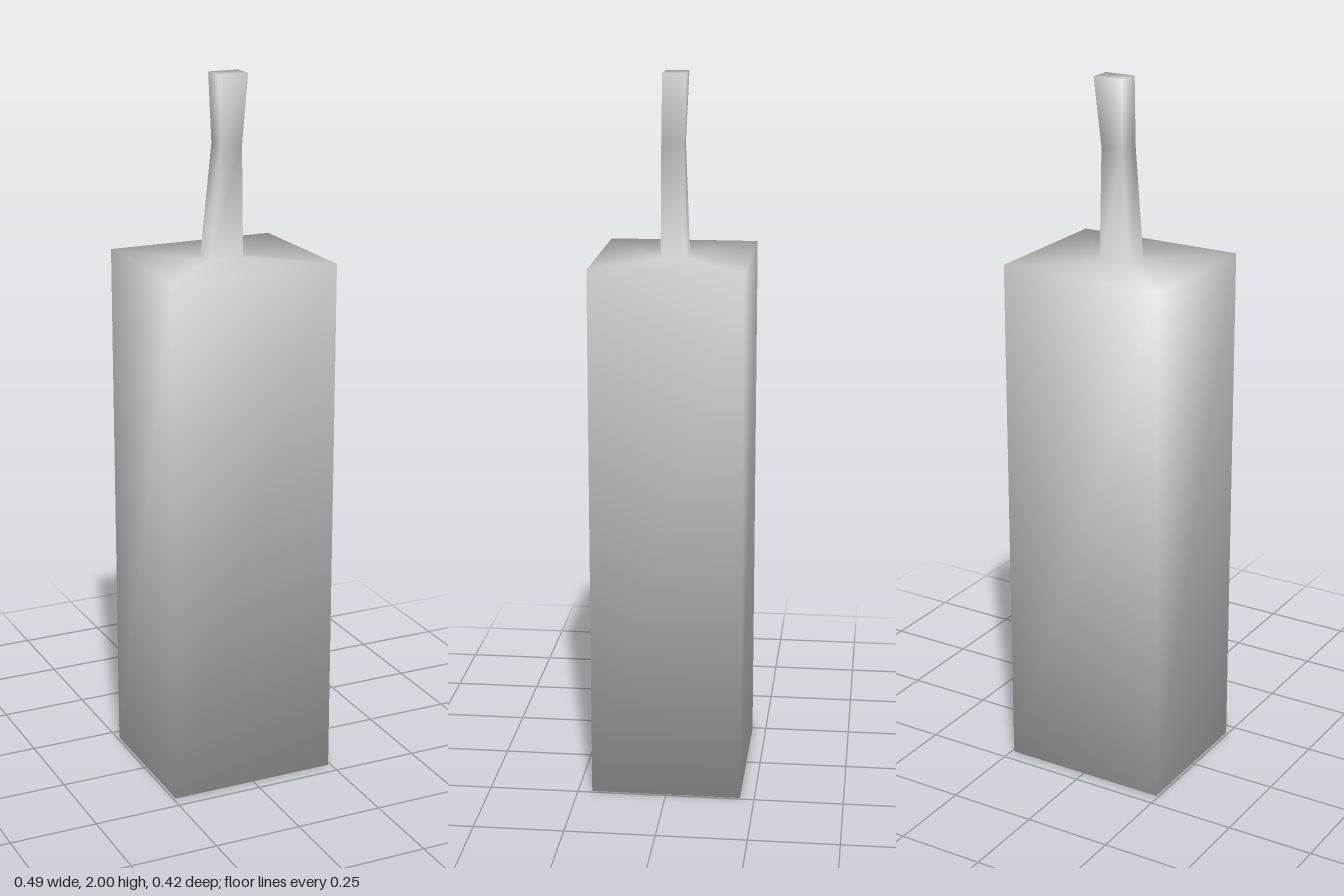
import * as THREE from 'three';

// Corners of a horizontal rectangle, counter-clockwise seen from above
const ring = (y, x0, x1, z0, z1) => [[x0, y, z1], [x1, y, z1], [x1, y, z0], [x0, y, z0]];

// Smooth vertex normals, each face weighted by its angle at the corner
function smoothNormals(points, index) {
  const normals = points.map(() => new THREE.Vector3());
  for (let i = 0; i < index.length; i += 3) {
    const t = index.slice(i, i + 3);
    const [a, b, c] = t.map((k) => points[k]);
    const n = b.clone().sub(a).cross(c.clone().sub(a)).normalize();
    t.forEach((k, j) => {
      const u = points[t[(j + 1) % 3]].clone().sub(points[k]);
      const v = points[t[(j + 2) % 3]].clone().sub(points[k]);
      normals[k].addScaledVector(n, u.angleTo(v));
    });
  }
  return normals.flatMap((n) => n.normalize().toArray());
}

// Closed skin over a stack of four-cornered rings
function loft(rings) {
  const points = rings.flat().map((p) => new THREE.Vector3(...p));
  const index = [0, 2, 1, 0, 3, 2];
  for (let r = 0; r < rings.length - 1; r++) {
    for (let i = 0; i < 4; i++) {
      const a = r * 4 + i, b = r * 4 + ((i + 1) % 4);
      index.push(a, b, b + 4, a, b + 4, a + 4);
    }
  }
  const t = (rings.length - 1) * 4;
  index.push(t, t + 1, t + 2, t, t + 2, t + 3);
  const geometry = new THREE.BufferGeometry();
  geometry.setAttribute('position', new THREE.Float32BufferAttribute(points.flatMap((p) => p.toArray()), 3));
  geometry.setAttribute('normal', new THREE.Float32BufferAttribute(smoothNormals(points, index), 3));
  geometry.setIndex(index);
  return geometry;
}

export function createModel() {
  const group = new THREE.Group();
  group.name = 'candle';

  // Block of wax with the wick drawn out of its top as one smooth skin
  const skin = loft([
    ring(0, -0.243, 0.243, -0.21, 0.21),
    ring(1.5, -0.243, 0.243, -0.21, 0.21),
    // wick: base, bend, tip
    ring(1.5, -0.05, 0.046, -0.036, 0.035),
    [[-0.022, 1.81, 0.039], [0.043, 1.81, 0.033], [0.043, 1.81, -0.03], [-0.02, 1.81, -0.027]],
    ring(2, -0.025, 0.063, -0.036, 0.028),
  ]);
  const candle = new THREE.Mesh(skin, new THREE.MeshStandardMaterial({ color: 0xcccccc }));
  candle.name = 'waxAndWick';
  group.add(candle);
  return group;
}
